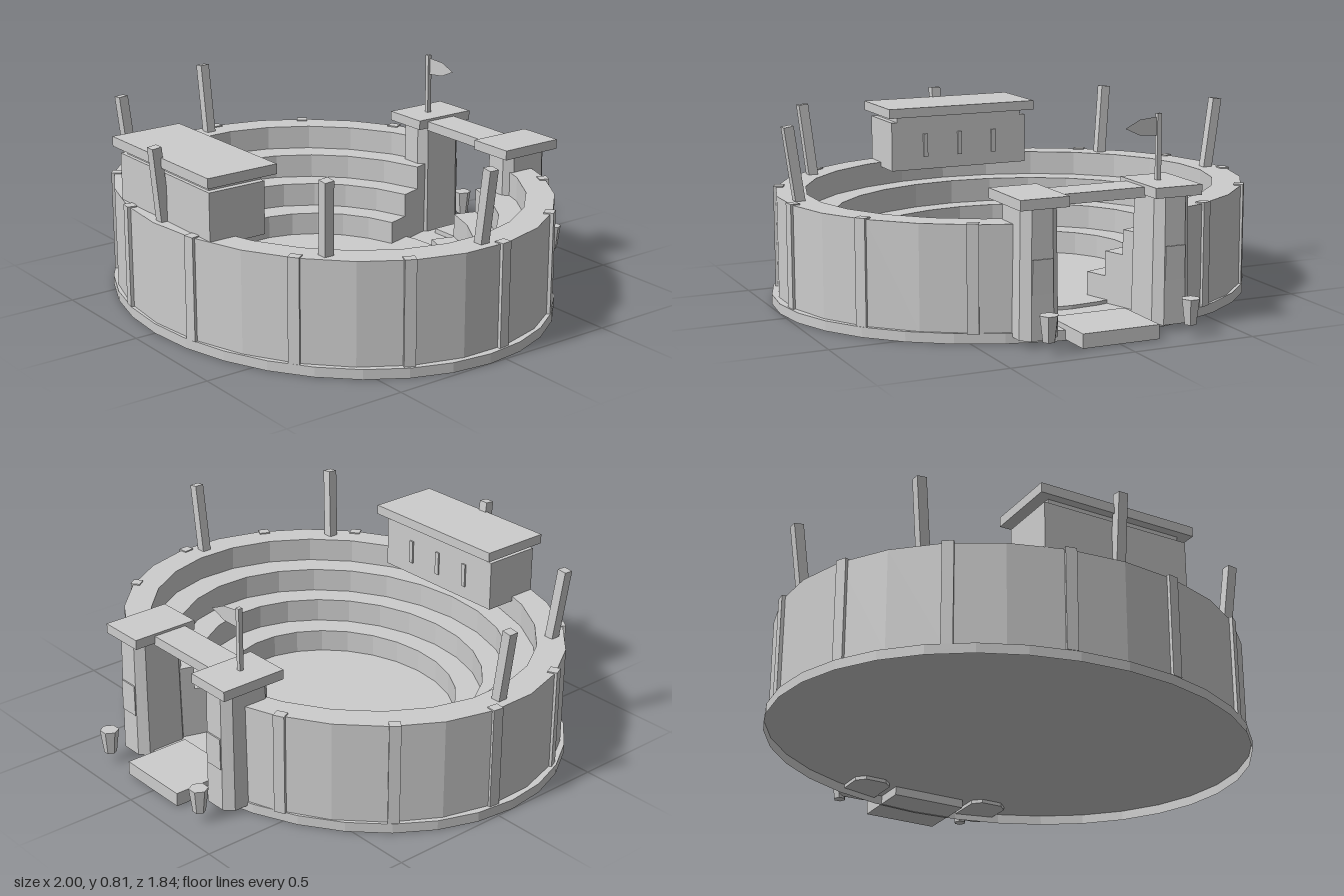
import * as THREE from 'three';

const CZ = 0.07; // z of the arena's centre
const FLAT = 0.855; // depth of the oval relative to its width
const DECK = 0.041; // height of the ground plate
const rad = THREE.MathUtils.degToRad;

export function createModel() {
  const model = new THREE.Group();
  model.name = 'arena';
  const stone = new THREE.MeshStandardMaterial({ color: 0xcccccc, flatShading: true, side: THREE.DoubleSide });
  stone.name = 'stone grey';

  const add = (name, geometry, x = 0, y = 0, z = 0, parent = model) => {
    const mesh = new THREE.Mesh(geometry, stone);
    mesh.name = name;
    mesh.position.set(x, y, z);
    parent.add(mesh);
    return mesh;
  };
  // box given by its lower and upper limits
  const block = (name, x0, x1, y0, y1, z0, z1, parent) =>
    add(name, new THREE.BoxGeometry(x1 - x0, y1 - y0, z1 - z0),
      (x0 + x1) / 2, (y0 + y1) / 2, (z0 + z1) / 2, parent);

  // outline in the ground plane, raised to a height
  const raise = (points, height) => {
    const shape = new THREE.Shape(points.map(([x, z]) => new THREE.Vector2(x, -z)));
    return new THREE.ExtrudeGeometry(shape, { depth: height, bevelEnabled: false }).rotateX(-Math.PI / 2);
  };

  // oval ring, open at the back for the gate
  const ring = (name, inner, outer, y1) => {
    const pts = [];
    const arc = (r, dir) => {
      for (let i = 0; i <= 24; i++) {
        const a = rad(dir * (-165 + i * 13.75));
        pts.push([r * Math.sin(a), CZ + r * FLAT * Math.cos(a)]);
      }
    };
    arc(outer, 1);
    arc(inner, -1);
    add(name, raise(pts, y1 - DECK), 0, DECK, 0);
  };

  // base: a plate over a thin skirt, hollow underneath
  add('basePlate', new THREE.CircleGeometry(1, 32).rotateX(-Math.PI / 2).scale(1, 1, 0.84), 0, 0.04, 0.075);
  add('baseSkirt', new THREE.CylinderGeometry(1, 1, 0.04, 32, 1, true).scale(1, 1, 0.84), 0, 0.02, 0.075);

  // sand floor, stepped seating and outer wall
  add('arenaFloor', new THREE.CylinderGeometry(0.63, 0.63, 0.014, 32).scale(1, 1, 0.88), 0, 0.048, CZ);
  const radii = [0.515, 0.63, 0.74, 0.855];
  for (let i = 0; i < 3; i++) ring('seatingTier', radii[i], radii[i + 1], 0.15 + i * 0.1);
  ring('outerWall', 0.855, 0.978, 0.45);

  // wall pilasters
  for (const side of [-1, 1]) {
    for (let i = 0; i < 6; i++) {
      const a = rad(side * (13.3 + i * 27.3));
      const p = add('pilaster', new THREE.BoxGeometry(0.045, 0.415, 0.04),
        0.967 * Math.sin(a), 0.2475, CZ + 0.967 * FLAT * Math.cos(a));
      p.rotation.y = Math.atan2(Math.sin(a) * FLAT, Math.cos(a));
    }
  }

  // posts leaning outward
  const up = new THREE.Vector3(0, 1, 0);
  for (const deg of [-90, -48, 0, 48, 90]) {
    const s = Math.sin(rad(deg)), c = Math.cos(rad(deg));
    const post = add('leaningPost', new THREE.BoxGeometry(0.04, 0.31, 0.04).translate(0, 0.155, 0),
      0.915 * s, 0.437, 0.06 + 0.8 * c);
    post.quaternion.setFromUnitVectors(up, new THREE.Vector3(0.14 * s, 1, 0.1 * c).normalize());
  }

  // covered viewing box at the front
  const box = new THREE.Group();
  box.name = 'viewingBox';
  model.add(box);
  block('boxBody', -0.315, 0.315, 0.43, 0.64, 0.61, 0.855, box);
  block('boxTrim', -0.29, 0.29, 0.64, 0.665, 0.61, 0.84, box);
  block('boxRoof', -0.34, 0.34, 0.665, 0.705, 0.57, 0.875, box);
  for (const x of [-0.16, 0, 0.16]) block('windowSlit', x - 0.01, x + 0.01, 0.485, 0.585, 0.603, 0.61, box);

  // gate at the back: towers with bevelled corners, lintel, step and urns
  const gate = new THREE.Group();
  gate.name = 'gate';
  model.add(gate);
  const [w, d, b] = [0.08, 0.115, 0.034];
  const footprint = [[w, d - b], [w - b, d], [b - w, d], [-w, d - b],
    [-w, b - d], [b - w, -d], [w - b, -d], [w, b - d]];
  for (const s of [-1, 1]) {
    const body = raise(footprint, 0.495);
    const p = body.attributes.position;
    for (let i = 0; i < p.count; i++) {
      if (p.getY(i) > 0.4) p.setXYZ(i, p.getX(i) * 0.92, p.getY(i), p.getZ(i) * 0.95);
    }
    body.computeVertexNormals();
    add('gateTower', body, s * 0.277, 0.025, -0.685, gate);
    block('towerRoof', s * 0.278 - 0.099, s * 0.278 + 0.099, 0.52, 0.56, -0.82, -0.54, gate);
    block('towerPanel', s * 0.277 - 0.042, s * 0.277 + 0.042, 0.2, 0.33, -0.802, -0.794, gate);
    const urn = new THREE.CylinderGeometry(0.038, 0.025, 0.1, 6).rotateY(rad(30));
    add('urn', urn, s * 0.295, 0.095, -0.889, gate);
  }
  block('lintel', -0.185, 0.185, 0.51, 0.55, -0.73, -0.585, gate);
  block('entranceStep', -0.16, 0.16, 0.004, 0.06, -0.895, -0.62, gate);

  // flag on the right tower
  block('flagPole', -0.283, -0.265, 0.56, 0.815, -0.672, -0.654, gate);
  const flag = new THREE.Shape([[0, -0.036], [0.075, -0.03], [0.14, 0], [0.075, 0.03], [0, 0.036]]
    .map(([x, y]) => new THREE.Vector2(x, y)));
  add('pennant', new THREE.ShapeGeometry(flag), -0.265, 0.766, -0.663, gate).rotation.y = rad(5);

  return model;
}
